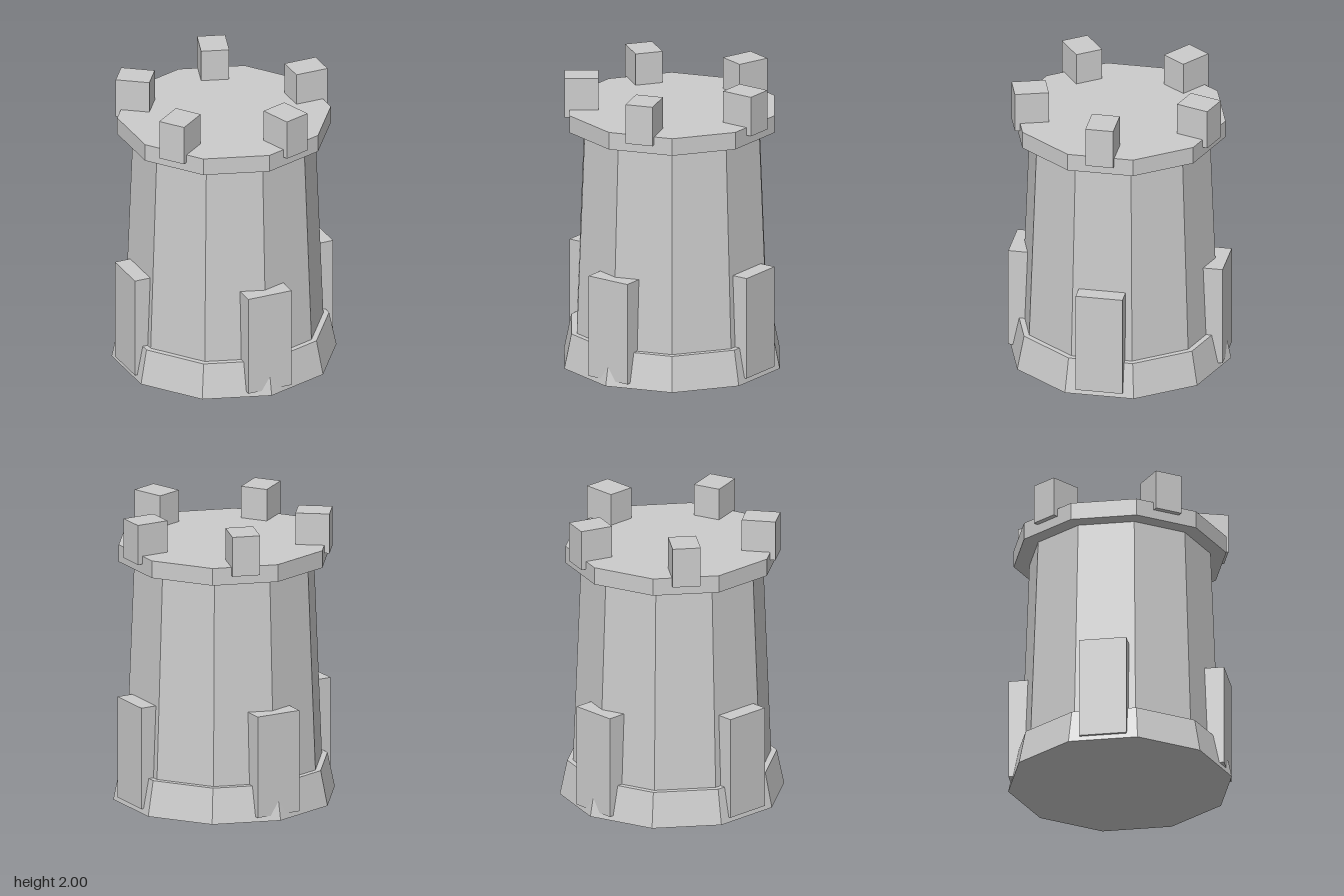
import * as THREE from 'three';

export function createModel() {
  const tower = new THREE.Group();
  tower.name = 'tower';
  const stone = new THREE.MeshStandardMaterial({ color: 0xcccccc, flatShading: true });

  // Ten-sided tapered section between two heights
  function section(name, rTop, rBottom, y0, y1) {
    const mesh = new THREE.Mesh(new THREE.CylinderGeometry(rTop, rBottom, y1 - y0, 10), stone);
    mesh.name = name;
    mesh.position.y = (y0 + y1) / 2;
    tower.add(mesh);
  }

  // Boxes spread evenly round the tower, starting at +x
  function ring(name, count, outer, depth, width, y0, y1) {
    const geometry = new THREE.BoxGeometry(depth, y1 - y0, width);
    geometry.translate(outer - depth / 2, (y0 + y1) / 2, 0);
    for (let i = 0; i < count; i++) {
      const mesh = new THREE.Mesh(geometry, stone);
      mesh.name = name + (i + 1);
      mesh.rotation.y = (i / count) * Math.PI * 2;
      tower.add(mesh);
    }
  }

  // Flared foot, tapering wall and overhanging platform
  section('base', 0.71, 0.76, 0, 0.24);
  section('wall', 0.615, 0.673, 0.2, 1.68);
  section('platform', 0.722, 0.722, 1.66, 1.78);

  // Four buttresses low on the wall, five battlement blocks on top
  ring('buttress', 4, 0.733, 0.23, 0.32, 0.035, 0.74);
  ring('merlon', 5, 0.722, 0.23, 0.19, 1.725, 2);

  return tower;
}
